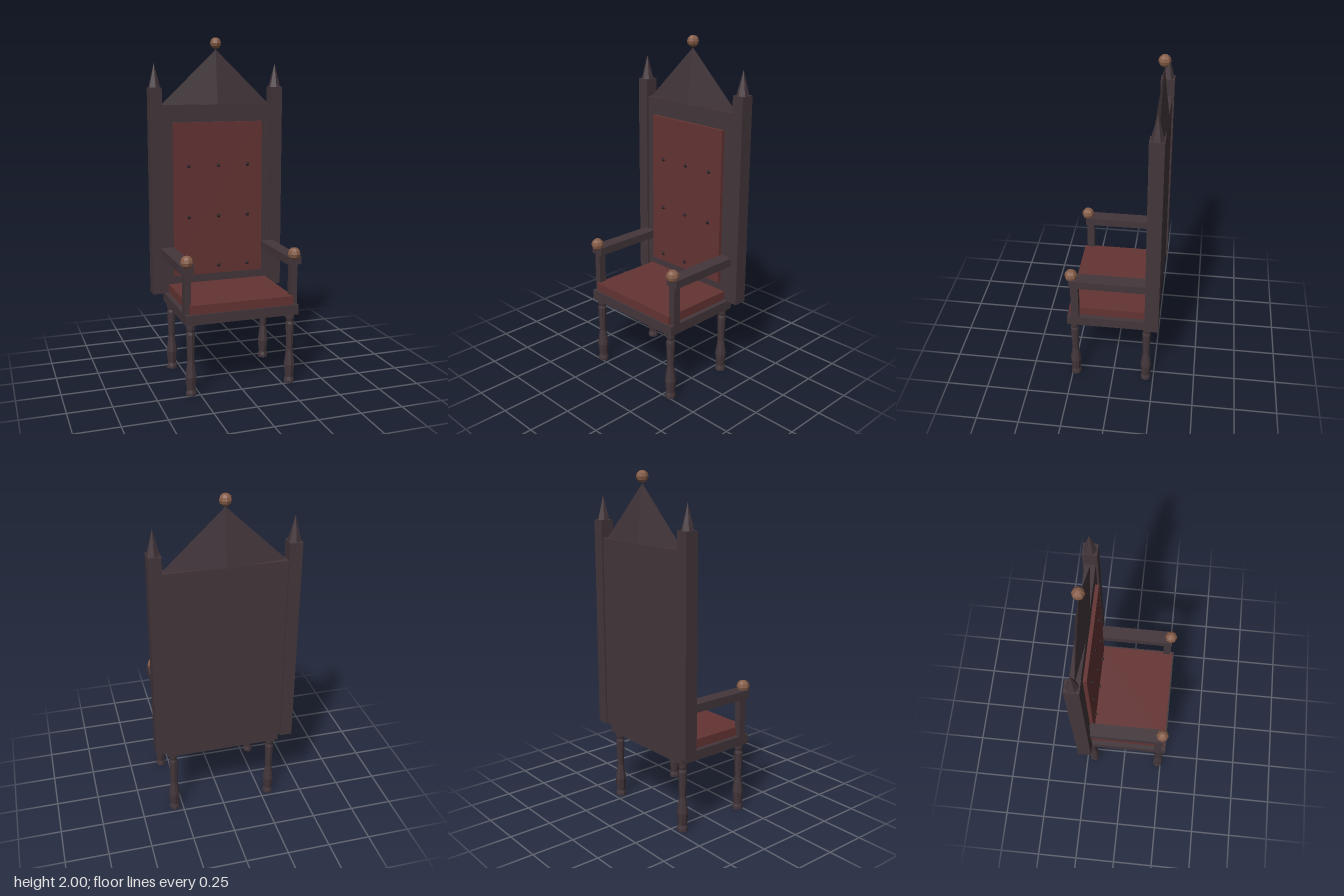
import * as THREE from 'three';

const material = (name, color) => {
  const m = new THREE.MeshStandardMaterial({ color, flatShading: true });
  m.name = name;
  return m;
};

export function createModel() {
  const chair = new THREE.Group();
  chair.name = 'highBackChair';
  const wood = material('dark wood', 0x43363b);
  const fabric = material('red fabric', 0x643433);
  const knob = material('copper brown', 0x855c48);
  const dark = material('button black', 0x2c2226);

  const add = (name, geometry, mat, x = 0, y = 0, z = 0) => {
    const mesh = new THREE.Mesh(geometry, mat);
    mesh.name = name;
    mesh.position.set(x, y, z);
    chair.add(mesh);
    return mesh;
  };
  // Box given by its min and max corners
  const box = (name, mat, [x0, y0, z0], [x1, y1, z1]) =>
    add(name, new THREE.BoxGeometry(x1 - x0, y1 - y0, z1 - z0), mat,
      (x0 + x1) / 2, (y0 + y1) / 2, (z0 + z1) / 2);

  // Seat and cushion
  box('seatFrame', wood, [-0.338, 0.42, -0.24], [0.338, 0.478, 0.267]);
  box('seatCushion', fabric, [-0.31, 0.475, -0.21], [0.31, 0.53, 0.257]);

  // Backrest and its padding
  box('backPanel', wood, [-0.34, 0.478, -0.267], [0.34, 1.61, -0.208]);
  box('backCushion', fabric, [-0.277, 0.583, -0.215], [0.277, 1.507, -0.187]);
  const button = new THREE.SphereGeometry(0.012, 6, 4);
  for (const x of [-0.185, 0, 0.185])
    for (const y of [0.632, 0.94, 1.248]) add('button', button, dark, x, y, -0.187);

  // Gable on top of the back, a flattened four-sided pyramid
  add('gable', new THREE.ConeGeometry(0.337, 0.322, 4).scale(1, 1, 0.12), wood, 0, 1.769, -0.237);
  add('topKnob', new THREE.SphereGeometry(0.034, 8, 6), knob, 0, 1.966, -0.237);

  // Turned leg
  const profile = [[0, 0], [0.031, 0], [0.031, 0.015], [0.025, 0.035], [0.033, 0.11],
    [0.02, 0.205], [0.026, 0.36], [0.021, 0.375], [0.025, 0.39], [0.025, 0.412], [0, 0.412]]
    .map(([r, y]) => new THREE.Vector2(r, y));
  const leg = new THREE.LatheGeometry(profile, 8);

  for (const side of [-1, 1]) {
    // Back posts with spires
    add('backPost', new THREE.BoxGeometry(0.071, 1.232, 0.08), wood, side * 0.375, 1.094, -0.237);
    add('spire', new THREE.ConeGeometry(0.036, 0.14, 6), wood, side * 0.375, 1.78, -0.237);
    // Armrests
    add('armrest', new THREE.BoxGeometry(0.08, 0.048, 0.45), wood, side * 0.32, 0.736, 0.02);
    add('armSupport', new THREE.BoxGeometry(0.04, 0.25, 0.045), wood, side * 0.318, 0.595, 0.219);
    add('armKnob', new THREE.SphereGeometry(0.038, 8, 6), knob, side * 0.319, 0.775, 0.236);
    // Legs
    for (const z of [0.23, -0.203]) add('leg', leg, wood, side * 0.3, 0, z);
  }
  return chair;
}
